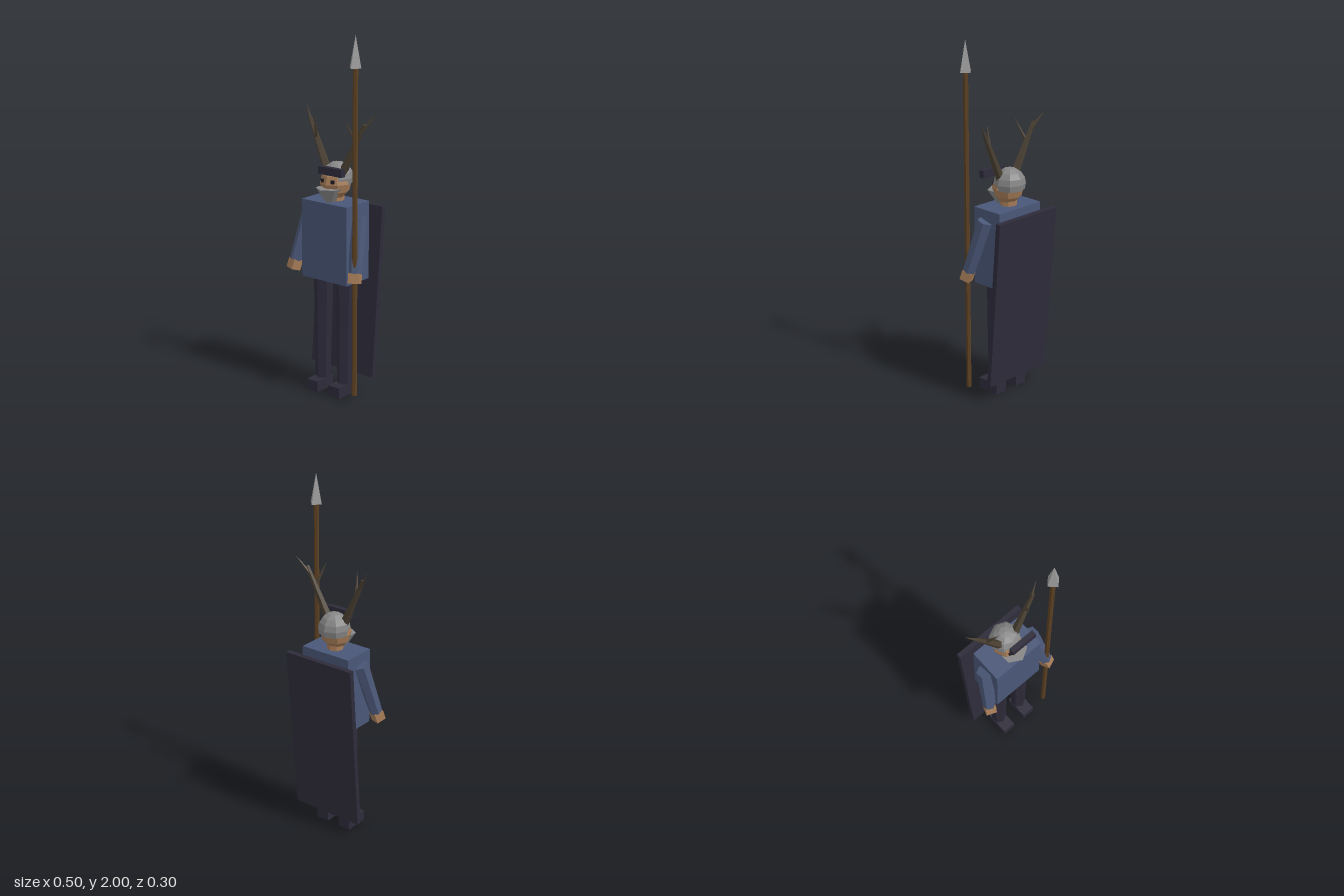
import * as THREE from 'three';

const mat = (name, color) => {
  const m = new THREE.MeshStandardMaterial({ color, flatShading: true });
  m.name = name;
  return m;
};

export function createModel() {
  const tunic = mat('tunic blue', 0x4a5777);
  const cloth = mat('dark cloth', 0x2e2b3a);
  const skin = mat('skin', 0xa67c58);
  const steel = mat('helmet grey', 0x868686);
  const blade = mat('blade grey', 0x9c9c9c);
  const wood = mat('shaft brown', 0x5c4022);
  const horn = mat('antler brown', 0x4a4032);
  const black = mat('eye black', 0x1a1620);

  const model = new THREE.Group();
  model.name = 'spearGuard';
  const body = new THREE.Group();
  body.name = 'body';
  body.position.x = -0.004;
  model.add(body);

  const add = (name, geo, material, x, y, z, parent = body) => {
    const mesh = new THREE.Mesh(geo, material);
    mesh.name = name;
    mesh.position.set(x, y, z);
    parent.add(mesh);
    return mesh;
  };
  const box = (w, h, d) => new THREE.BoxGeometry(w, h, d);

  // Tapered rod from point a (radius ra) to point b (radius rb)
  const rod = (name, a, b, ra, rb, sides, material) => {
    const p = new THREE.Vector3(...a), q = new THREE.Vector3(...b);
    const dir = q.clone().sub(p);
    const mid = p.clone().add(q).multiplyScalar(0.5);
    // cylinder top lies at the upper end so its sides stay aligned
    const up = dir.y >= 0;
    const geo = new THREE.CylinderGeometry(up ? rb : ra, up ? ra : rb, dir.length(), sides);
    const mesh = add(name, geo, material, mid.x, mid.y, mid.z);
    if (!up) dir.negate();
    mesh.quaternion.setFromUnitVectors(new THREE.Vector3(0, 1, 0), dir.normalize());
    return mesh;
  };

  // Torso and leaning cloak
  add('torso', box(0.31, 0.435, 0.193), tunic, 0, 0.8725, 0.0135);
  add('cloak', box(0.434, 0.963, 0.028), cloth, 0, 0.58, -0.094).rotation.x = -0.08;

  // Head, face and beard
  add('neck', new THREE.CylinderGeometry(0.045, 0.045, 0.06, 8), skin, 0, 1.1, 0.005);
  add('head', new THREE.SphereGeometry(0.085, 8, 6), skin, 0, 1.185, 0.01).scale.y = 1.03;
  const beard = add('beard', new THREE.ConeGeometry(0.077, 0.115, 6), steel, 0, 1.1075, 0.06);
  beard.rotation.x = Math.PI;

  // Helmet cap open at the bottom, and the band in front of it
  const capMat = steel.clone();
  capMat.name = 'helmet grey';
  capMat.side = THREE.DoubleSide;
  const cap = new THREE.SphereGeometry(0.087, 8, 5, 0, Math.PI * 2, 0, Math.PI * 0.62);
  add('helmet', cap, capMat, 0, 1.213, -0.004);
  add('headBand', box(0.157, 0.042, 0.03), cloth, 0.038, 1.265, 0.092);

  // Paired parts
  for (const s of [-1, 1]) {
    const side = s > 0 ? 'left' : 'right';
    add(side + 'Eye', box(0.02, 0.018, 0.016), black, s * 0.033, 1.203, 0.077).rotation.y = s * 0.39;

    // Leg and boot
    rod(side + 'Leg', [s * 0.077, 0.05, 0.028], [s * 0.077, 0.67, 0.02], 0.042, 0.055, 6, cloth);
    add(side + 'Boot', box(0.077, 0.062, 0.137), cloth, s * 0.077, 0.031, 0.054);

    // Arm and hand
    const arm = rod(side + 'Arm', [s * 0.163, 1.03, 0.016], [s * 0.208, 0.735, 0.1], 0.045, 0.036, 6, tunic);
    const hand = add(side + 'Hand', box(0.06, 0.055, 0.055), skin, s * 0.211, 0.711, 0.108);
    hand.quaternion.copy(arm.quaternion);
    hand.rotateY(s * 0.35);

    // Antler with two tines
    rod(side + 'Antler', [s * 0.05, 1.24, 0.014], [s * 0.186, 1.52, 0], 0.025, 0.01, 5, horn);
    rod(side + 'InnerTine', [s * 0.138, 1.41, 0.006], [s * 0.103, 1.54, 0.06], 0.012, 0.001, 5, horn);
    rod(side + 'OuterTine', [s * 0.165, 1.475, 0.003], [s * 0.234, 1.57, -0.032], 0.012, 0.001, 5, horn);
  }

  // Spear held in the left hand
  const spear = new THREE.Group();
  spear.name = 'spear';
  spear.position.set(0.206, 0, 0.108);
  model.add(spear);
  add('shaft', new THREE.CylinderGeometry(0.014, 0.014, 1.79, 6), wood, 0, 0.94, 0, spear);
  add('spearHead', new THREE.ConeGeometry(0.038, 0.168, 4), blade, 0, 1.916, 0, spear);

  return model;
}
